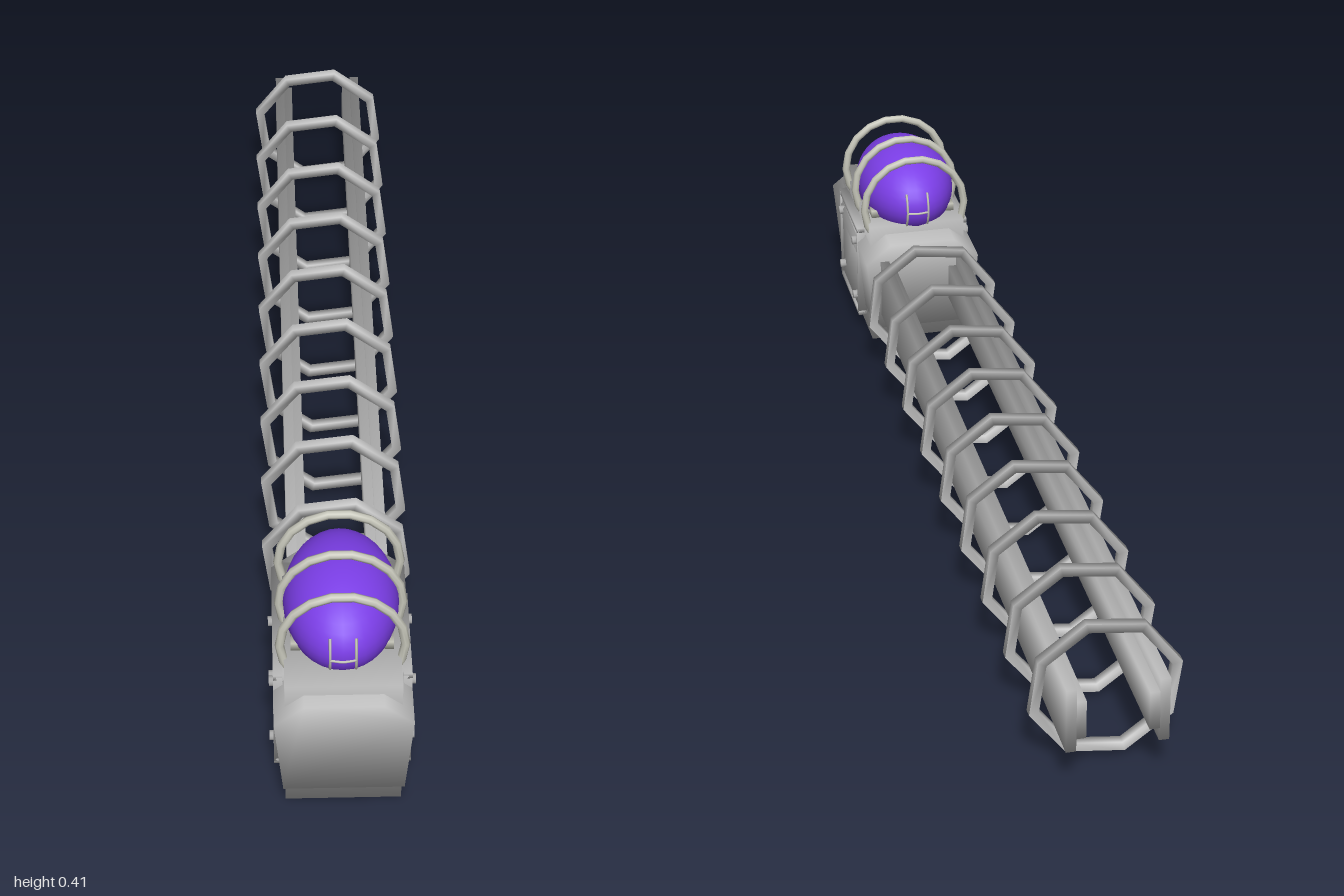
import * as THREE from 'three';

// Blend the normals of all faces meeting at a corner, each face counted once
function smooth(geometry) {
  const { position, normal } = geometry.attributes;
  const corners = new Map();
  const key = v => v.toArray().map(n => Math.round(n * 1e4)).join();
  const p = new THREE.Vector3();
  for (let i = 0; i < position.count; i++) {
    const corner = key(p.fromBufferAttribute(position, i));
    const n = new THREE.Vector3().fromBufferAttribute(normal, i);
    if (!corners.has(corner)) corners.set(corner, new Map());
    corners.get(corner).set(key(n), n);
  }
  for (let i = 0; i < position.count; i++) {
    const sum = new THREE.Vector3();
    corners.get(key(p.fromBufferAttribute(position, i))).forEach(n => sum.add(n));
    sum.normalize();
    normal.setXYZ(i, sum.x, sum.y, sum.z);
  }
  return geometry;
}
const softBox = (w, h, d) => smooth(new THREE.BoxGeometry(w, h, d));

export function createModel() {
  const model = new THREE.Group();
  const metal = new THREE.MeshStandardMaterial({ color: 0xbcbcbc });
  metal.name = 'grey metal';
  const trim = new THREE.MeshStandardMaterial({ color: 0xc6c6ba });
  trim.name = 'light warm grey trim';
  const purple = new THREE.MeshStandardMaterial({ color: 0x7c3ee8 });
  purple.name = 'purple dome';

  const add = (name, geometry, material, x = 0, y = 0, z = 0) => {
    const mesh = new THREE.Mesh(geometry, material);
    mesh.name = name;
    mesh.position.set(x, y, z);
    model.add(mesh);
    return mesh;
  };
  const tube = (name, points, radius, material) =>
    add(name, new THREE.TubeGeometry(new THREE.CatmullRomCurve3(points), 16, radius, 6), material);

  // Housing: inner block and wider chamfered shell
  add('housingCore', softBox(0.2, 0.265, 0.315), metal, 0, 0.1325, 0.8125);
  const outline = new THREE.Shape([
    [-0.104, 0.055], [0.104, 0.055], [0.119, 0.205], [0.068, 0.246], [-0.068, 0.246], [-0.119, 0.205],
  ].map(([x, y]) => new THREE.Vector2(x, y)));
  add('housingShell', smooth(new THREE.ExtrudeGeometry(outline, { depth: 0.4, bevelEnabled: false })),
    metal, 0, 0, 0.6);

  // Dome with its cage hoops
  const centre = new THREE.Vector3(0, 0.3, 0.79);
  const radii = new THREE.Vector3(0.1, 0.091, 0.152);
  add('dome', new THREE.SphereGeometry(1, 32, 20), purple, centre.x, centre.y, centre.z).scale.copy(radii);
  for (const z of [0.895, 0.788, 0.683]) {
    add('cageHoop', new THREE.TorusGeometry(0.107, 0.008, 8, 18), trim, 0, 0.293, z);
  }

  // Thin ladder trim lying on both ends of the dome
  const onDome = (x, y, end) => {
    const u = x / radii.x, v = (y - centre.y) / radii.y;
    return new THREE.Vector3(x, y, centre.z + end * radii.z * Math.sqrt(1 - u * u - v * v));
  };
  for (const end of [1, -1]) {
    for (const x of [-0.022, 0.022]) {
      tube('domeTrim', [0.262, 0.28, 0.3, 0.318, 0.335].map(y => onDome(x, y, end)), 0.0025, trim);
    }
    tube('domeCrossbar', [-0.022, 0, 0.022].map(x => onDome(x, 0.295, end)), 0.0025, trim);
  }

  for (const s of [-1, 1]) {
    // Small clamps at the foot of the dome
    for (const z of [0.715, 0.865]) {
      add('domeClamp', softBox(0.016, 0.016, 0.03), trim, s * 0.08, 0.273, z);
    }

    // Side plate, raised frame and corner bolts
    add('sidePlate', softBox(0.018, 0.2, 0.19), metal, s * 0.106, 0.135, 0.81);
    for (const y of [0.036, 0.233]) {
      add('plateFrameBar', softBox(0.016, 0.01, 0.204), metal, s * 0.111, y, 0.812);
    }
    for (const z of [0.715, 0.909]) {
      add('plateFramePost', softBox(0.016, 0.2, 0.01), metal, s * 0.111, 0.135, z);
    }
    for (const y of [0.07, 0.2]) {
      for (const z of [0.735, 0.885]) {
        const bolt = add('plateBolt', smooth(new THREE.CylinderGeometry(0.009, 0.009, 0.014, 10)), metal,
          s * 0.119, y, z);
        bolt.rotation.z = Math.PI / 2;
      }
    }

    // Long rails: tall outer plate and narrower inner strip
    add('railPlate', softBox(0.018, 0.125, 1.62), metal, s * 0.081, 0.148, -0.19);
    add('railStrip', softBox(0.018, 0.075, 1.62), metal, s * 0.064, 0.148, -0.19);
  }

  // Eight-sided rings of square section along the rails
  const section = [[0.139, -0.009], [0.139, 0.009], [0.121, 0.009], [0.121, -0.009], [0.139, -0.009]]
    .map(([r, h]) => new THREE.Vector2(r, h));
  const ringShape = new THREE.LatheGeometry(section, 8).rotateX(Math.PI / 2);
  for (let i = 0; i < 9; i++) {
    add('railRing', ringShape, metal, 0, 0.148, 0.512 - i * 0.1778).rotation.z = -Math.PI / 12;
  }
  return model;
}
